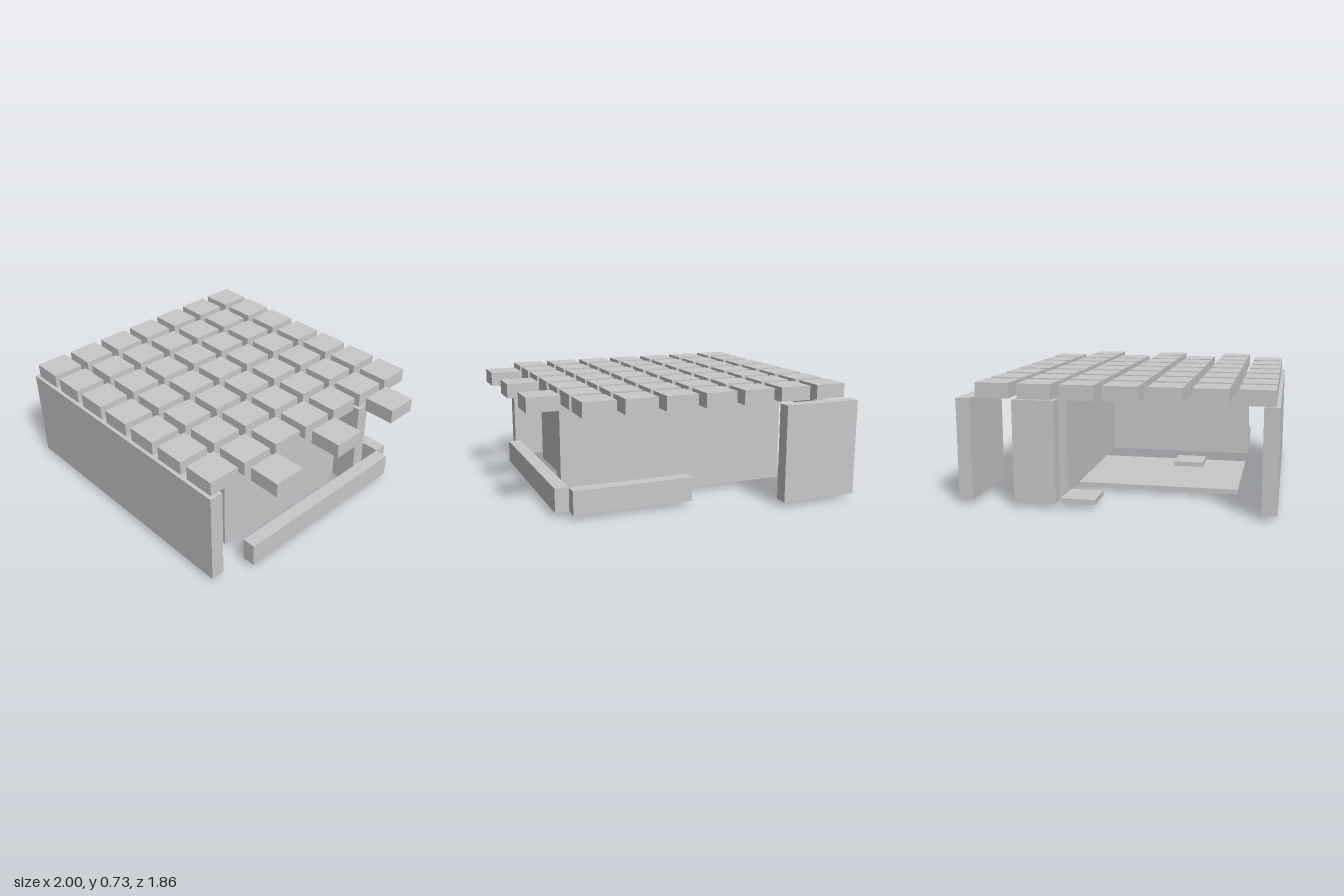
import * as THREE from 'three';

const stone = new THREE.MeshStandardMaterial({ color: 0xc8c8c8 });
stone.name = 'lightGrey';

// Box given by its limits on each axis
function block(name, [x0, x1], [y0, y1], [z0, z1]) {
  const mesh = new THREE.Mesh(new THREE.BoxGeometry(x1 - x0, y1 - y0, z1 - z0), stone);
  mesh.name = name;
  mesh.position.set((x0 + x1) / 2, (y0 + y1) / 2, (z0 + z1) / 2);
  return mesh;
}

export function createModel() {
  const model = new THREE.Group();
  model.name = 'building';
  const add = (...args) => model.add(block(...args));

  const full = [0.03, 0.635];
  const low = [0.03, 0.18];

  // Full-height walls
  add('frontWall', [-1, 0.77], full, [0.84, 0.927]);
  add('backWall', [-0.75, 0.77], full, [-0.425, -0.338]);
  add('innerWall', [0.52, 0.605], full, [-0.338, 0.675]);
  add('rearScreenWall', [-1, -0.497], full, [-0.93, -0.845]);
  add('sideScreenWall', [-1, -0.913], full, [-0.59, -0.338]);

  // Low walls
  add('lowBackWall', [0.01, 0.77], low, [-0.68, -0.595]);
  add('lowSideWall', [0.77, 0.855], low, [-0.59, 0.675]);

  // Floor
  add('floor', [-0.497, 0.263], [0, 0.03], [-0.338, 0.675]);

  // Square grid shared by the roof tiles and the paving slabs
  const pitch = 0.2535, half = 0.101;
  const columnX = (i) => -0.875 + i * pitch;
  const rowZ = (j) => -0.718 + j * pitch;
  const tile = (name, i, j, y) => block(name,
    [columnX(i) - half, columnX(i) + half], y, [rowZ(j) - half, rowZ(j) + half]);

  // Roof: a full grid, with every second tile in the overhanging column
  const roof = new THREE.Group();
  roof.name = 'roof';
  for (let i = 0; i < 8; i++) {
    for (let j = 0; j < 7; j++) {
      if (i === 7 && j % 2 === 0) continue;
      roof.add(tile('roofTile', i, j, [0.635, 0.725]));
    }
  }
  model.add(roof);

  // Thin paving slabs
  for (const [i, j] of [[0, 2], [4, 4]]) model.add(tile('pavingSlab', i, j, [0.03, 0.06]));

  return model;
}
